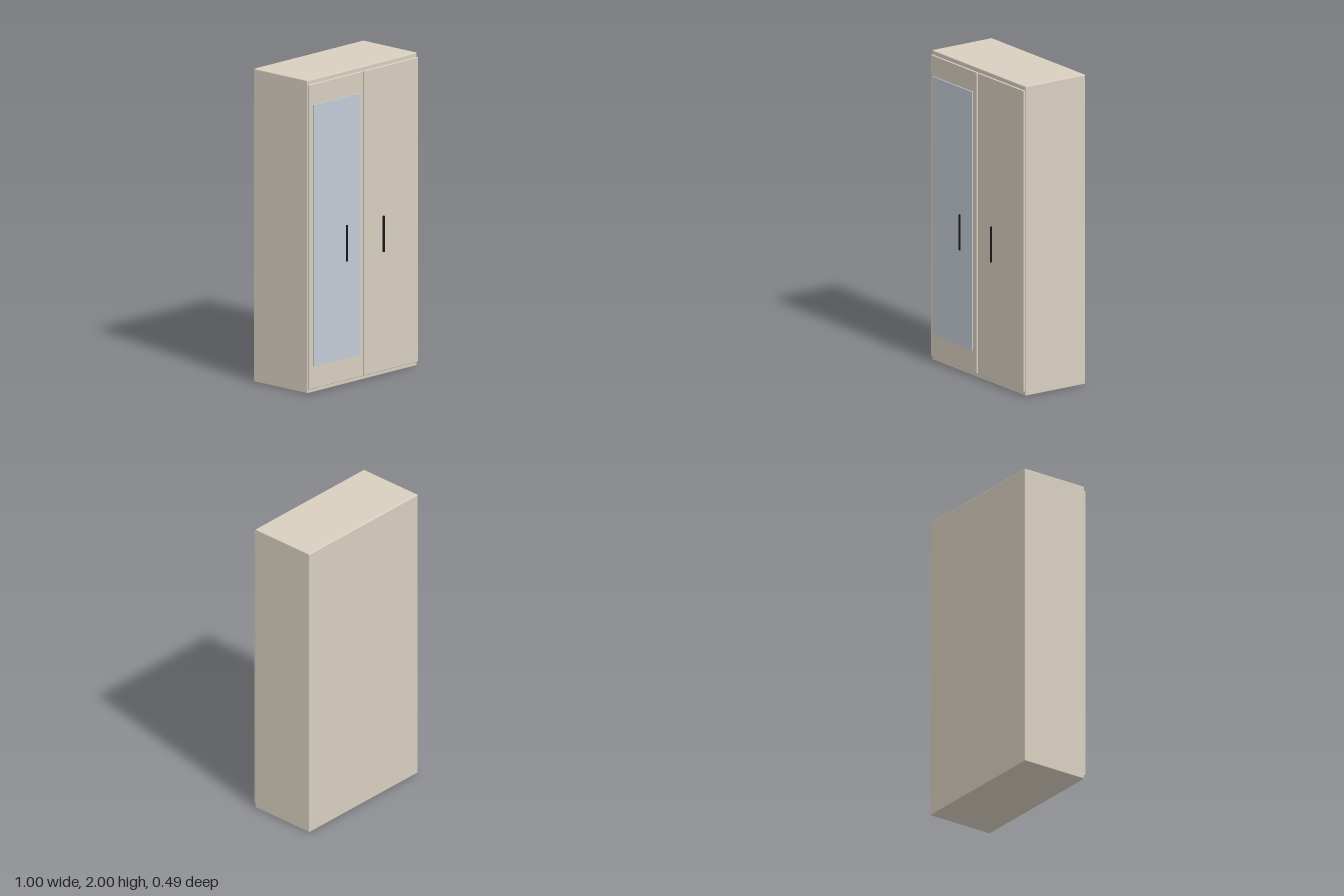
import * as THREE from 'three';
import { RoundedBoxGeometry } from 'three/addons/geometries/RoundedBoxGeometry.js';

const beige = new THREE.MeshStandardMaterial({ color: 0xd8cfc0 });
const silver = new THREE.MeshStandardMaterial({ color: 0xc3cbd6 });
const black = new THREE.MeshStandardMaterial({ color: 0x16181b });

// Softly rounded panel given by its lower and upper limits on each axis
function panel(name, [x0, x1], [y0, y1], [z0, z1], radius, material) {
  const geometry = new RoundedBoxGeometry(x1 - x0, y1 - y0, z1 - z0, 3, radius);
  const mesh = new THREE.Mesh(geometry, material);
  mesh.position.set((x0 + x1) / 2, (y0 + y1) / 2, (z0 + z1) / 2);
  mesh.name = name;
  return mesh;
}

export function createModel() {
  const wardrobe = new THREE.Group();
  wardrobe.name = 'wardrobe';

  // Carcass
  wardrobe.add(panel('cabinetBody', [-0.498, 0.498], [0, 2], [-0.246, 0.21], 0.006, beige));

  // Pair of doors, each with a slim vertical bar handle
  for (const [label, side] of [['left', 1], ['right', -1]]) {
    const door = new THREE.Group();
    door.name = label + 'Door';
    const xs = [side * 0.005, side * 0.494].sort((a, b) => a - b);
    door.add(panel(label + 'DoorPanel', xs, [0.027, 1.973], [0.209, 0.223], 0.004, beige));

    const handle = new THREE.Mesh(new THREE.CylinderGeometry(0.0065, 0.0065, 0.23, 20), black);
    handle.name = label + 'Handle';
    handle.position.set(side * 0.166, 0.905, 0.237);
    door.add(handle);
    wardrobe.add(door);
  }

  // Tall mirror on the right door
  const mirror = new THREE.Mesh(new THREE.BoxGeometry(0.417, 1.67, 0.009), silver);
  mirror.name = 'mirror';
  mirror.position.set(-0.25, 1.005, 0.2265);
  wardrobe.getObjectByName('rightDoor').add(mirror);

  return wardrobe;
}
